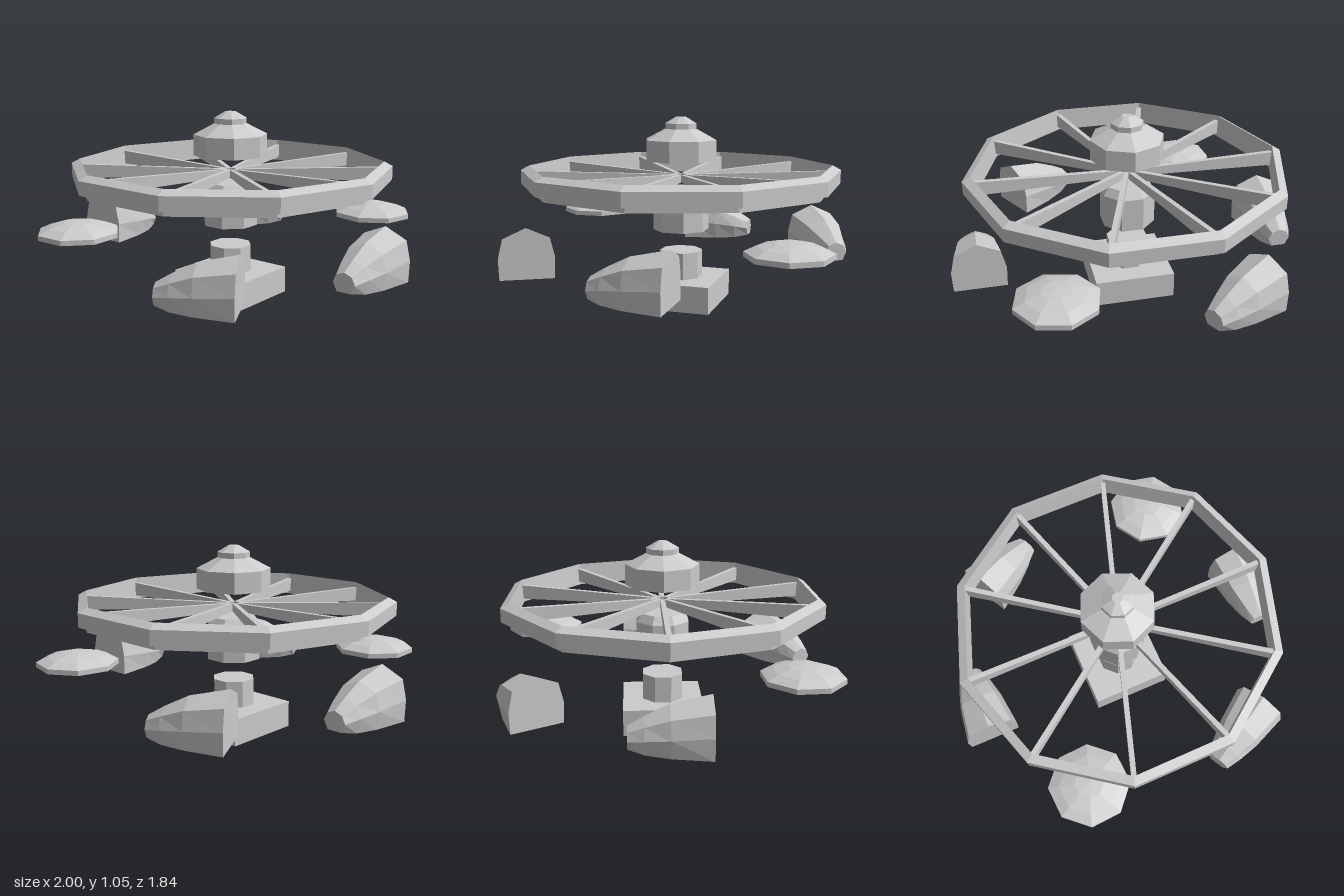
import * as THREE from 'three';

const grey = new THREE.MeshStandardMaterial({ color: 0xcccccc, flatShading: true });
const greyOpen = new THREE.MeshStandardMaterial({ color: 0xcccccc, flatShading: true, side: THREE.DoubleSide });

// Faceted turned part: profile of [radius, y] listed counter-clockwise, turned by spin
function turned(name, profile, sides, spin = 0, material = grey) {
  const points = profile.map(([r, y]) => new THREE.Vector2(r, y));
  const mesh = new THREE.Mesh(new THREE.LatheGeometry(points, sides), material);
  mesh.rotation.y = spin;
  mesh.name = name;
  return mesh;
}

// Tapered seven-sided pod, nose towards +z, flat back
function podGeometry() {
  // each section: z, then half widths and heights from the floor corner up to the ridge
  const sections = [
    { z: -0.2, pts: [[0.143, 0.22], [0.147, 0.335], [0.122, 0.44], [0, 0.495]] },
    { z: 0.0, pts: [[0.108, 0.22], [0.122, 0.315], [0.098, 0.405], [0, 0.45]] },
    { z: 0.12, pts: [[0.075, 0.225], [0.092, 0.3], [0.068, 0.36], [0, 0.39]] },
    { z: 0.2, pts: [[0.04, 0.24], [0.062, 0.285], [0.043, 0.325], [0, 0.342]] },
  ];
  const n = 7;
  const positions = [];
  const index = [];
  for (const { z, pts } of sections) {
    const mirrored = pts.slice(0, 3).reverse().map(([x, y]) => [-x, y]);
    for (const [x, y] of [...pts, ...mirrored]) positions.push(x, y, z);
  }
  for (let s = 0; s < sections.length - 1; s++) {
    for (let i = 0; i < n; i++) {
      const a = s * n + i, b = s * n + (i + 1) % n;
      index.push(a, b, b + n, a, b + n, a + n);
    }
  }
  // back and nose caps
  const last = (sections.length - 1) * n;
  for (let i = 1; i < n - 1; i++) {
    index.push(0, i + 1, i);
    index.push(last, last + i, last + i + 1);
  }
  const geometry = new THREE.BufferGeometry();
  geometry.setAttribute('position', new THREE.Float32BufferAttribute(positions, 3));
  geometry.setIndex(index);
  geometry.computeVertexNormals();
  return geometry;
}

// Spoke along +x, deeper at the rim than at the hub
function spokeGeometry() {
  const length = 0.83;
  const geometry = new THREE.BoxGeometry(length, 0.08, 0.027);
  geometry.translate(0.03 + length / 2, 0, 0);
  const p = geometry.attributes.position;
  for (let i = 0; i < p.count; i++) {
    if (p.getX(i) < 0.1) p.setY(i, p.getY(i) * 0.5);
  }
  return geometry;
}

export function createModel() {
  const model = new THREE.Group();
  model.name = 'explodedCarousel';

  // Square base, hollow from below
  const k = Math.SQRT2;
  model.add(turned('base', [
    [0, 0.1], [0.15 * k, 0.1], [0.15 * k, 0], [0.225 * k, 0], [0.225 * k, 0.15], [0, 0.15],
  ], 4, Math.PI / 4));

  // Centre post and hub
  model.add(turned('post', [[0, 0.15], [0.12, 0.15], [0.12, 0.3], [0, 0.3]], 8, Math.PI / 8));
  model.add(turned('hub', [
    [0, 0.42], [0.156, 0.42], [0.156, 0.61], [0.125, 0.655], [0, 0.655],
  ], 8, Math.PI / 8));

  // Roof cap with knob
  model.add(turned('cap', [
    [0, 0.81], [0.205, 0.81], [0.205, 0.925], [0.09, 0.985], [0.09, 1.015], [0.03, 1.05], [0, 1.05],
  ], 8));

  // Ten-sided rim and its spokes
  model.add(turned('rim', [
    [0.84, 0.65], [0.852, 0.65], [0.852, 0.68], [0.895, 0.68], [0.895, 0.755], [0.848, 0.78], [0.84, 0.65],
  ], 10, Math.PI / 10));
  const spokes = new THREE.Group();
  spokes.name = 'spokes';
  const spoke = spokeGeometry();
  for (let i = 0; i < 10; i++) {
    const mesh = new THREE.Mesh(spoke, grey);
    mesh.name = 'spoke';
    mesh.position.y = 0.71;
    mesh.rotation.y = i * Math.PI / 5;
    spokes.add(mesh);
  }
  model.add(spokes);

  // Pods: x, z, heading in degrees
  const pod = podGeometry();
  for (const [x, z, heading] of [[0.855, -0.025, 0], [-0.855, 0, 180], [0.42, 0.753, -60.6], [-0.422, -0.745, 119.4]]) {
    const mesh = new THREE.Mesh(pod, grey);
    mesh.name = 'pod';
    mesh.position.set(x, 0, z);
    mesh.rotation.y = THREE.MathUtils.degToRad(heading);
    model.add(mesh);
  }

  // Shallow domed dishes, open below: x, z, turn in degrees
  for (const [x, z, turn] of [[0.505, -0.706, 9.7], [-0.473, 0.703, -19.3]]) {
    const dish = turned('dish', [
      [0.222, 0.413], [0.222, 0.44], [0.16, 0.467], [0.08, 0.487], [0, 0.493],
    ], 8, THREE.MathUtils.degToRad(turn), greyOpen);
    dish.position.set(x, 0, z);
    model.add(dish);
  }

  return model;
}
